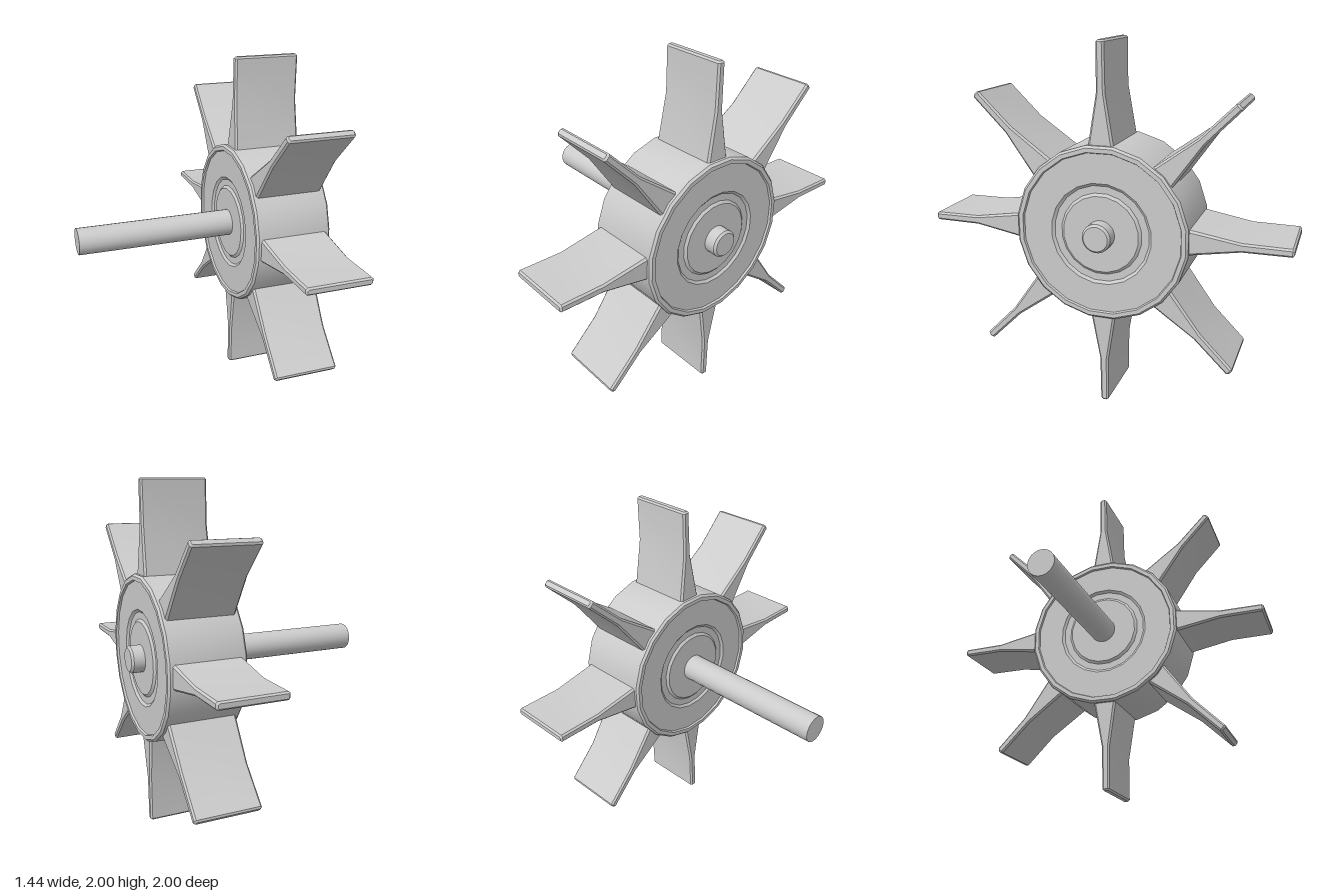
import * as THREE from 'three';
import { toCreasedNormals } from 'three/addons/utils/BufferGeometryUtils.js';

const SIDES = 20;
const material = new THREE.MeshStandardMaterial({ color: 0xcccccc });

// Solid turned around the x axis; points are [x, radius] from -x to +x.
function turned(name, points) {
  const profile = points.map(([x, r]) => new THREE.Vector2(r, x));
  const lathe = new THREE.LatheGeometry(profile, SIDES, Math.PI / SIDES);
  const mesh = new THREE.Mesh(toCreasedNormals(lathe, 0.5), material);
  mesh.rotation.z = -Math.PI / 2;
  mesh.name = name;
  return mesh;
}

// Blade pointing up +y, lofted through chamfered rectangles.
function bladeGeometry(centerX) {
  // radius, half length along x, half thickness along z, chamfer
  const sections = [
    [0.43, 0.202, 0.076, 0.012],
    [0.74, 0.193, 0.024, 0.01],
    [0.99, 0.193, 0.022, 0.01],
    [1.0, 0.184, 0.013, 0.006],
  ];
  const loops = sections.map(([y, a, b, c]) => [
    [a, b - c], [a - c, b], [c - a, b], [-a, b - c],
    [-a, c - b], [c - a, -b], [a - c, -b], [a, c - b],
  ].map(([x, z]) => [x + centerX, y, z]));
  const positions = [];
  const tri = (...corners) => corners.forEach((p) => positions.push(...p));
  for (let s = 0; s < loops.length - 1; s++) {
    for (let i = 0; i < 8; i++) {
      const j = (i + 1) % 8;
      const [a, b, c, d] = [loops[s][i], loops[s][j], loops[s + 1][j], loops[s + 1][i]];
      tri(a, c, b);
      tri(a, d, c);
    }
  }
  // tip and root caps
  const root = loops[0], tip = loops[loops.length - 1];
  for (let i = 1; i < 7; i++) {
    tri(tip[0], tip[i + 1], tip[i]);
    tri(root[0], root[i], root[i + 1]);
  }
  const geometry = new THREE.BufferGeometry();
  geometry.setAttribute('position', new THREE.Float32BufferAttribute(positions, 3));
  return toCreasedNormals(geometry, 0.3);
}

export function createModel() {
  const model = new THREE.Group();
  model.name = 'paddleWheel';
  const wheel = new THREE.Group();
  wheel.name = 'wheel';
  wheel.position.y = 1;
  model.add(wheel);

  // Hub: bevelled rim, shallow recess and a ring groove on both faces
  const hubCenter = 0.428, half = 0.227;
  const face = [ // [depth below the rim, radius], centre to rim
    [0.012, 0], [0.012, 0.21], [0.024, 0.225], [0.024, 0.265], [0.012, 0.28],
    [0.012, 0.44], [0, 0.445], [0, 0.468], [0.012, 0.48],
  ];
  wheel.add(turned('hub', [
    ...face.map(([d, r]) => [hubCenter - half + d, r]),
    ...face.map(([d, r]) => [hubCenter + half - d, r]).reverse(),
  ]));

  // Shaft with a bevelled front end
  wheel.add(turned('shaft', [
    [-0.72, 0], [-0.72, 0.079], [0.708, 0.079], [0.72, 0.067], [0.72, 0],
  ]));

  // Eight blades around the hub
  const geometry = bladeGeometry(hubCenter);
  for (let i = 0; i < 8; i++) {
    const blade = new THREE.Mesh(geometry, material);
    blade.name = `blade${i + 1}`;
    blade.rotation.x = (i * Math.PI) / 4;
    wheel.add(blade);
  }
  return model;
}
